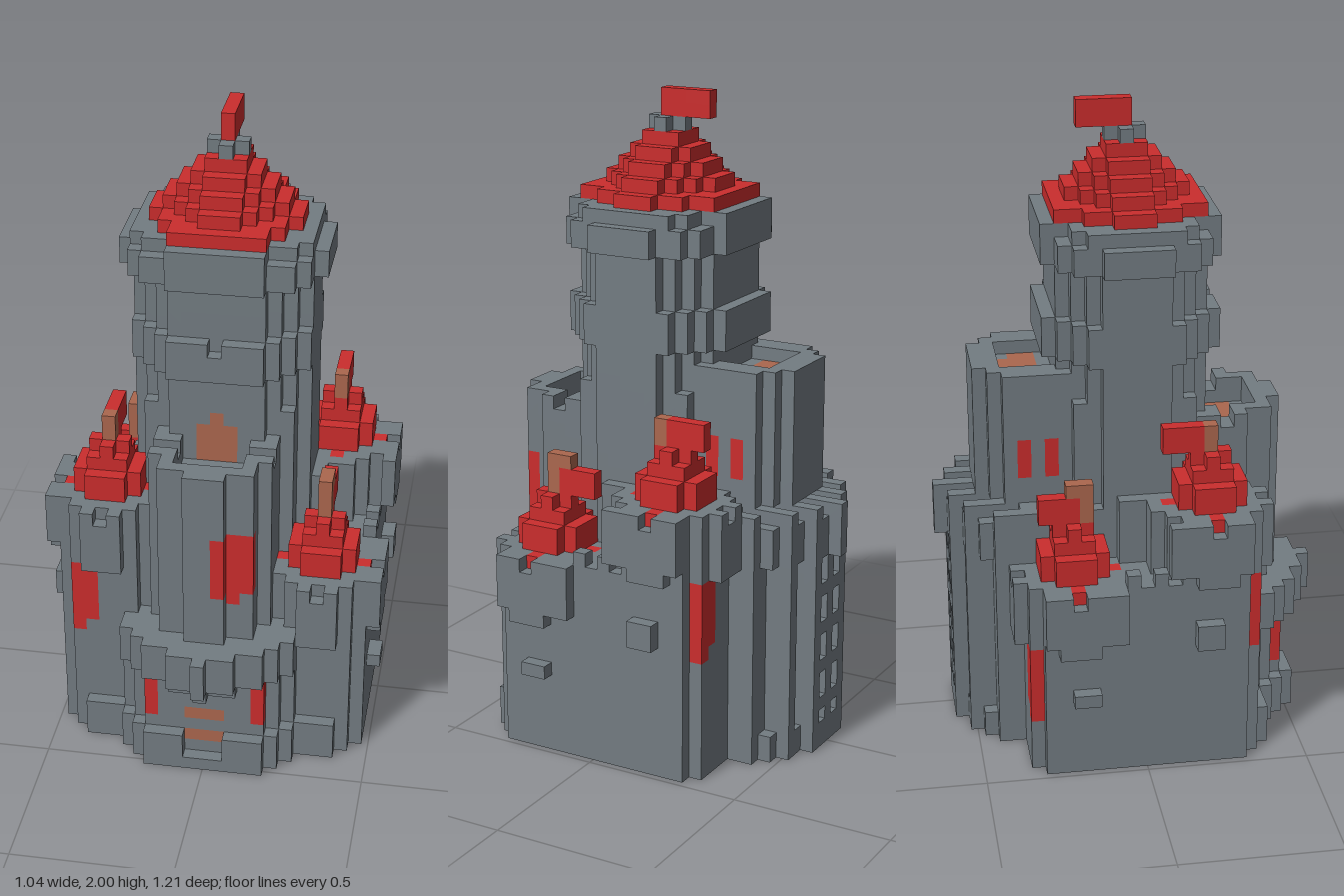
import * as THREE from 'three';

const V = 1 / 24; // block size

export function createModel() {
  const material = (name, color) => {
    const m = new THREE.MeshStandardMaterial({ color, side: THREE.DoubleSide });
    m.name = name;
    return m;
  };
  const stone = material('stone grey', 0x737c82);
  const red = material('roof red', 0xcb2d2d);
  const wood = material('wood brown', 0xab674e);

  // Blocks are kept in a map from position to part, so later parts replace earlier ones
  const parts = {};
  const cells = new Map();
  const key = (x, y, z) => (x + 30) + 64 * ((y + 2) + 64 * (z + 30));
  let part = null;
  const begin = (name, mat) => { part = parts[name] ??= { name, mat, list: [] }; };
  const put = (x, y, z) => cells.set(key(x, y, z), { x, y, z, part });
  const cut = (x, y, z) => cells.delete(key(x, y, z));
  const has = (x, y, z) => cells.has(key(x, y, z));

  const box = (x0, x1, y0, y1, z0, z1, f = put) => {
    for (let x = x0; x <= x1; x++)
      for (let y = y0; y <= y1; y++)
        for (let z = z0; z <= z1; z++) f(x, y, z);
  };
  // Round column: blocks with dx² + (k dz)² <= r2, and |dx| <= maxX
  const disc = (cx, cz, r2, y0, y1, k = 1, maxX = 9) => {
    for (let x = -maxX; x <= maxX; x++)
      for (let z = -9; z <= 9; z++)
        if (x * x + z * z * k * k <= r2) box(cx + x, cx + x, y0, y1, cz + z, cz + z);
  };

  // Main walls with low parapet blocks at the sides
  begin('castleWalls', stone);
  box(-11, 11, 0, 14, -5, 5);
  box(-8, 8, 0, 13, -7, 7);
  for (const s of [-1, 1])
    for (const z of [-1, 1]) box(11 * s, 11 * s, 15, 15, z, z);

  // Stepped buttresses around the foot of the keep
  begin('keepButtresses', stone);
  box(-7, 7, 15, 19, -1, 1);
  box(-6, 6, 15, 25, -2, 2);
  box(-5, 5, 15, 26, -4, 4);
  box(-4, 4, 15, 24, -5, 5);

  // Rounded gatehouse at the front, with a corbelled ledge
  begin('gatehouse', stone);
  disc(0, 4, 80, 0, 2);
  box(-9, 9, 0, 2, 8, 9);
  disc(0, 4, 65, 3, 7);
  box(-1, 1, 1, 6, 12, 12, cut);
  disc(0, 6, 54, 8, 10);
  box(0, 0, 8, 10, 14, 14);
  for (let x = -6; x <= 6; x += 2)
    for (let z = 10; z <= 13; z++) if (x * x + (z - 6) ** 2 <= 50) put(x, 7, z);

  // Rounded rear bastion with pilasters and slots
  begin('rearBastion', stone);
  disc(0, -6, 41, 0, 14);
  disc(0, -6, 54, 0, 1, 1, 6);
  for (let x = -6; x <= 6; x++)
    for (let z = -13; z <= -6; z++)
      if (x * x + (z + 6) ** 2 <= 54)
        for (let y = 2; y <= 14; y++)
          if (x % 2 === 0 || (Math.abs(x) === 1 && y % 3 === 0)) put(x, y, z);
  disc(0, -6, 54, 15, 18, 1, 6);
  box(0, 0, 15, 18, -14, -14);
  for (let x = -5; x <= 5; x += 2)
    for (let z = -13; z <= -9; z++)
      if (has(x, 18, z) && !has(x, 18, z - 1)) cut(x, 18, z);

  // Turrets on the front and back of the keep, with plank floors
  const turret = (name, s, r2, y0, floor, top) => {
    begin(name, stone);
    disc(0, 7 * s, r2, y0, top);
    box(-2, 2, floor + 1, top, Math.min(6 * s, 9 * s), Math.max(6 * s, 9 * s), cut);
    begin(name + 'Floor', wood);
    box(-2, 2, floor, floor, Math.min(7 * s, 8 * s), Math.max(7 * s, 8 * s));
    box(-1, 1, floor, floor, 9 * s, 9 * s);
  };
  turret('frontTurret', 1, 18, 11, 22, 24);
  turret('backTurret', -1, 20, 19, 27, 28);
  box(-4, 4, 24, 24, 7, 7, cut); // crenel of the front turret

  // Keep with a string course and a wider parapet
  begin('keep', stone);
  disc(0, 0, 46, 0, 39, 1.18);
  disc(0, 0, 48.9, 30, 32, 1.05);
  cut(0, 32, 6);
  begin('keepParapet', stone);
  disc(0, 0, 58, 37, 38, 1.1);
  disc(0, 0, 48.9, 39, 39, 1.05);
  for (const x of [-4, 4]) for (const z of [-5, 5]) cut(x, 39, z);

  // Keep roof, finial and flag
  begin('keepRoof', red);
  [26, 17, 10, 5, 2].forEach((r2, i) => disc(0, 0, r2, 40 + i, 40 + i));
  box(-3, 3, 40, 40, -5, 5);
  begin('keepFinial', stone);
  disc(0, 0, 1, 45, 45);
  begin('keepFlag', red);
  put(0, 45, 0);
  box(0, 0, 46, 47, -3, 0);

  // Corner towers: tall and short ones on opposite diagonals
  for (const sx of [-1, 1]) {
    for (const sz of [-1, 1]) {
      const short = sx === sz;
      const cx = 8 * sx, cz = 5 * sz, top = short ? 15 : 20;
      begin('cornerTower', stone);
      disc(cx, cz, 13, 0, top - 1);
      begin('cornerTowerParapet', stone);
      disc(cx, cz, 17, top - 5, top - 1);
      const outer = cz + 2 * sz, inner = cz - 3 * sz;
      box(12 * sx, 12 * sx, top - 4, top - 1, Math.min(outer, inner), Math.max(outer, inner));
      cut(12 * sx, top - 1, cz); // crenel notches
      cut(cx, top - 1, cz + 4 * sz);
      begin('cornerRoof', red);
      box(cx - 3, cx + 3, top - 1, top - 1, cz, cz);
      put(cx, top - 1, inner);
      [8, 5, 2, 1].forEach((r2, i) => disc(cx, cz, r2 - (i === 0 ? 3 : 0), top + i, top + i));
      // Pole and flag
      const pz = sz > 0 ? cz : cz + 1, py = top + 4;
      begin('cornerFlag', red);
      box(cx, cx, py, py + 1, pz - 3, pz - 1);
      begin('cornerFlagPole', wood);
      box(cx, cx, py, py + (short ? 2 : 1), pz, pz);
      if (short) put(cx, py + 2, pz - 1);
    }
  }

  // Stone studs on the side walls
  begin('wallStuds', stone);
  for (const s of [-1, 1]) {
    for (const z of [4, 5]) {
      put(12 * s, 6, z * s);
      box(12 * s, 12 * s, 10, 11, -z * s, -z * s);
    }
  }

  // Banners, painted into the wall blocks
  begin('banners', red);
  for (const s of [-1, 1]) {
    box(4 * s, 4 * s, 4, 7, 11, 11);
    for (const z of [-8, -6]) box(4 * s, 4 * s, 21, 23, z, z);
  }
  const towerBanner = (s, y, z) => {
    box(10 * s, 10 * s, y, y + 5, z, z);
    box(9 * s, 9 * s, y + 1, y + 5, z, z);
  };
  towerBanner(1, 9, -8);
  towerBanner(-1, 4, -8);
  towerBanner(-1, 9, 8);
  box(1, 1, 15, 19, 11, 11);
  box(2, 3, 15, 19, 10, 10);
  put(2, 14, 10);

  // Gate with planks, and the arched door above the front turret
  begin('gate', wood);
  for (const y of [2, 4]) box(-1, 1, y, y, 11, 11);
  begin('keepDoor', wood);
  box(-1, 1, 23, 25, 5, 5);
  put(0, 26, 5);

  // Turn the blocks into meshes, keeping only the outer faces; the base is open
  const dirs = [[1, 0, 0], [-1, 0, 0], [0, 1, 0], [0, -1, 0], [0, 0, 1], [0, 0, -1]];
  for (const c of cells.values()) c.part.list.push(c);
  const group = new THREE.Group();
  group.name = 'castle';
  for (const { name, mat, list } of Object.values(parts)) {
    const pos = [], nor = [], idx = [];
    for (const { x, y, z } of list) {
      for (const d of dirs) {
        if (has(x + d[0], y + d[1], z + d[2]) || (y === 0 && d[1] < 0)) continue;
        const n = new THREE.Vector3(...d);
        const u = new THREE.Vector3(Math.abs(d[1]), Math.abs(d[2]), Math.abs(d[0]));
        const w = n.clone().cross(u);
        const i = pos.length / 3;
        for (const [p, q] of [[-1, -1], [1, -1], [1, 1], [-1, 1]]) {
          const corner = new THREE.Vector3(x, y + 0.5, z)
            .addScaledVector(n, 0.5).addScaledVector(u, p / 2).addScaledVector(w, q / 2);
          pos.push(corner.x * V, corner.y * V, corner.z * V);
          nor.push(...d);
        }
        idx.push(i, i + 1, i + 2, i, i + 2, i + 3);
      }
    }
    if (!idx.length) continue;
    const geo = new THREE.BufferGeometry();
    geo.setAttribute('position', new THREE.Float32BufferAttribute(pos, 3));
    geo.setAttribute('normal', new THREE.Float32BufferAttribute(nor, 3));
    geo.setIndex(idx);
    const mesh = new THREE.Mesh(geo, mat);
    mesh.name = name;
    group.add(mesh);
  }
  return group;
}
